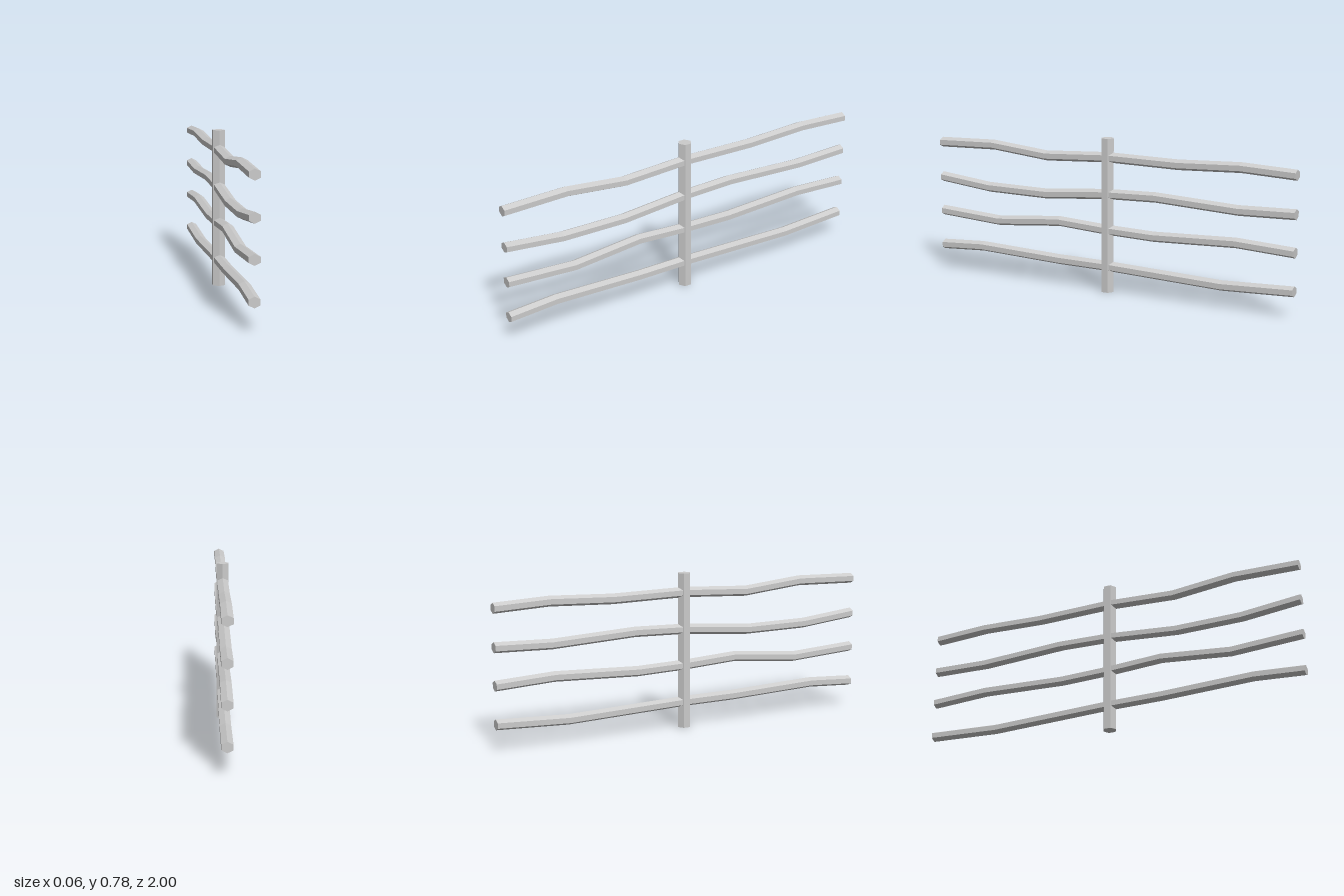
import * as THREE from 'three';

const material = new THREE.MeshStandardMaterial({ color: 0xcccccc, flatShading: true });

const POST_HEIGHT = 0.78;
const RAIL_HALF_WIDTH = 0.0263;
const RAIL_HALF_HEIGHT = 0.026;

// Centre line of each rail as [z, y] stations, from front to back
const railPaths = [
  [[1, 0.131], [0.75, 0.147], [0.28, 0.132], [0, 0.131], [-0.63, 0.113], [-1, 0.131]],
  [[1, 0.317], [0.64, 0.297], [0.28, 0.332], [0, 0.317], [-0.26, 0.311], [-0.7, 0.331], [-1, 0.317]],
  [[1, 0.499], [0.7, 0.469], [0.36, 0.467], [0, 0.499], [-0.27, 0.508], [-0.71, 0.489], [-1, 0.499]],
  [[1, 0.684], [0.67, 0.694], [0.35, 0.664], [0, 0.684], [-0.39, 0.68], [-0.72, 0.695], [-1, 0.684]],
];

// Six-sided bar along z whose rings are moved onto the path stations
function bentRail(path) {
  const segments = path.length - 1;
  const radius = RAIL_HALF_WIDTH / Math.cos(Math.PI / 6);
  const geometry = new THREE.CylinderGeometry(radius, radius, 2, 6, segments).rotateX(Math.PI / 2);
  const pos = geometry.attributes.position;
  for (let i = 0; i < pos.count; i++) {
    const [z, y] = path[Math.round((1 - pos.getZ(i)) / 2 * segments)];
    pos.setY(i, y + pos.getY(i) * RAIL_HALF_HEIGHT / radius);
    pos.setZ(i, z);
  }
  geometry.computeVertexNormals();
  return geometry;
}

export function createModel() {
  const group = new THREE.Group();
  group.name = 'fenceSection';

  // Upright hexagonal post
  const post = new THREE.Mesh(new THREE.CylinderGeometry(0.0345, 0.0345, POST_HEIGHT, 6), material);
  post.name = 'post';
  post.position.y = POST_HEIGHT / 2;
  group.add(post);

  // Four crooked rails running through the post
  railPaths.forEach((path, i) => {
    const rail = new THREE.Mesh(bentRail(path), material);
    rail.name = `rail${i + 1}`;
    group.add(rail);
  });

  return group;
}
